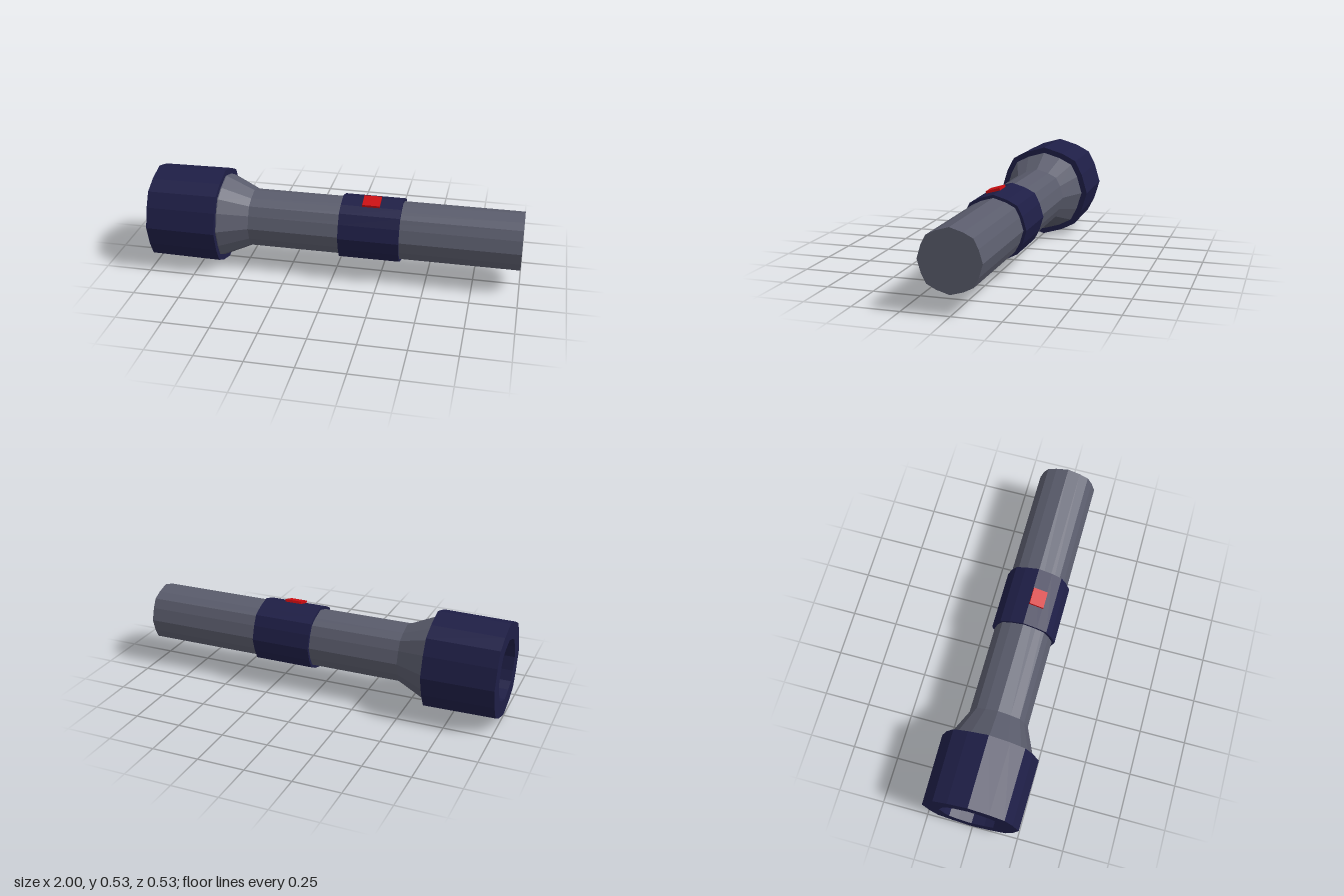
import * as THREE from 'three';

const AXIS_Y = 0.264;
const grey = new THREE.MeshStandardMaterial({ color: 0x5a5c6c, flatShading: true });
const navy = new THREE.MeshStandardMaterial({ color: 0x1e1e46, flatShading: true });
const red = new THREE.MeshStandardMaterial({ color: 0xcc0c10, flatShading: true });

// One quadrant of the faceted, slightly squared cross-section (unit radius)
const QUADRANT = [[0, 1], [0.42, 0.876], [0.722, 0.72], [0.876, 0.42]];

// Turns a profile of [x, radius] pairs about the x axis, then reshapes each ring
function turned(name, profile, material) {
  const points = profile.map(([x, r]) => new THREE.Vector2(r, x));
  const geo = new THREE.LatheGeometry(points, 16);
  const pos = geo.attributes.position;
  for (let i = 0; i < pos.count; i++) {
    const step = Math.floor(i / points.length) % 16;
    const r = points[i % points.length].x;
    const [s, c] = QUADRANT[step % 4];
    const turn = Math.floor(step / 4) * Math.PI / 2;
    const a = Math.atan2(s, c) + turn;
    const k = r * Math.hypot(s, c);
    pos.setXYZ(i, k * Math.sin(a), pos.getY(i), k * Math.cos(a));
  }
  geo.rotateZ(-Math.PI / 2);
  geo.computeVertexNormals();
  const mesh = new THREE.Mesh(geo, material);
  mesh.name = name;
  mesh.position.y = AXIS_Y;
  return mesh;
}

export function createModel() {
  const group = new THREE.Group();
  group.name = 'flashlight';

  // Handle with the flared neck
  group.add(turned('handle',
    [[-0.63, 0], [-0.63, 0.231], [-0.615, 0.231], [-0.46, 0.16], [1, 0.16], [1, 0]], grey));

  // Head with a deep recess in its open end
  group.add(turned('head',
    [[-0.68, 0], [-0.68, 0.166], [-1, 0.166], [-1, 0.258], [-0.62, 0.263], [-0.62, 0]], navy));

  // Collar around the handle
  group.add(turned('gripBand',
    [[0.035, 0.15], [0.035, 0.176], [0.36, 0.176], [0.36, 0.15]], navy));

  // Switch lying on one sloping facet of the collar
  const button = new THREE.Mesh(new THREE.BoxGeometry(0.093, 0.013, 0.079), red);
  button.name = 'switch';
  button.position.set(0.197, 0.435, 0.04);
  button.rotation.x = 0.288;
  group.add(button);

  return group;
}
